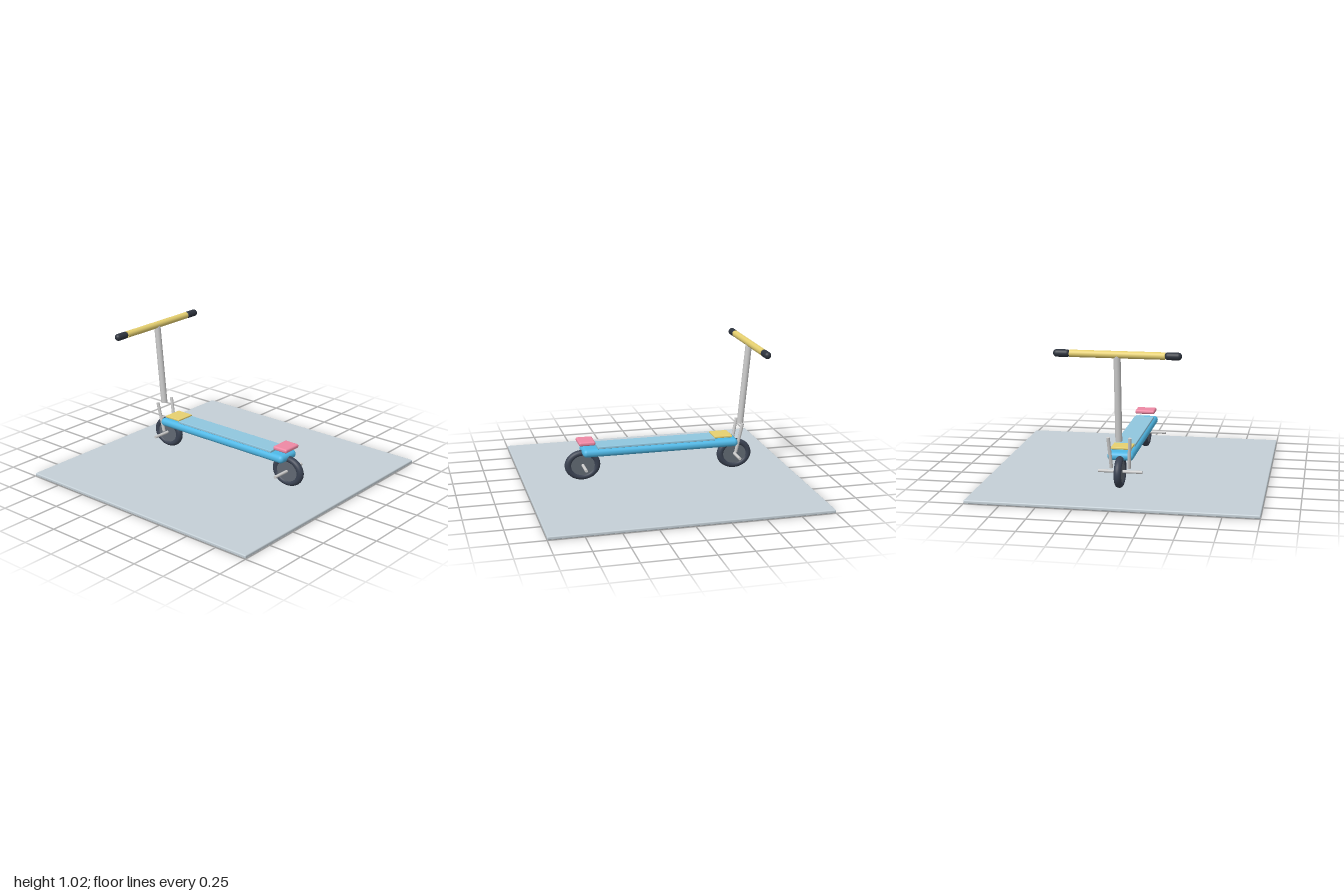
import * as THREE from 'three';
import { RoundedBoxGeometry } from 'three/addons/geometries/RoundedBoxGeometry.js';

const paint = (color) => new THREE.MeshStandardMaterial({ color });
const metal = paint(0xcccccc);
const blue = paint(0x4fb8e6);
const paleBlue = paint(0x90c6de);
const yellow = paint(0xe6d070);
const pink = paint(0xee88a4);
const rubber = paint(0x3a4252);
const gripRubber = paint(0x2e343e);
const hubGrey = paint(0x606872);
const slabGrey = paint(0xc4cfd6);

export function createModel() {
  const model = new THREE.Group();

  const add = (name, geometry, material, parent = model) => {
    const mesh = new THREE.Mesh(geometry, material);
    mesh.name = name;
    parent.add(mesh);
    return mesh;
  };

  // Rounded block given by its size and centre
  const block = (name, material, size, centre, radius) =>
    add(name, new RoundedBoxGeometry(...size, 4, radius), material).position.set(...centre);

  // Straight round rod between two points
  const rod = (name, material, from, to, radius, parent = model) => {
    const a = new THREE.Vector3(...from);
    const b = new THREE.Vector3(...to);
    const axis = b.clone().sub(a);
    const mesh = add(name, new THREE.CylinderGeometry(radius, radius, axis.length(), 28), material, parent);
    mesh.position.copy(a).lerp(b, 0.5);
    mesh.quaternion.setFromUnitVectors(new THREE.Vector3(0, 1, 0), axis.normalize());
  };

  // Ground slab
  block('groundSlab', slabGrey, [2, 0.025, 2], [0, 0.0125, 0], 0.008);

  // Deck with its grip pad and the two small plates
  block('deck', blue, [0.186, 0.06, 1.17], [0, 0.26, 0], 0.029);
  block('deckPad', paleBlue, [0.15, 0.018, 0.885], [0, 0.296, 0.033], 0.004);
  block('stemPlate', yellow, [0.147, 0.015, 0.136], [0, 0.309, -0.473], 0.004);
  block('brakePlate', pink, [0.15, 0.03, 0.12], [0, 0.332, 0.552], 0.012);

  // Oval wheels on long axles
  for (const [end, z] of [['front', 0.577], ['rear', -0.577]]) {
    const wheel = new THREE.Group();
    wheel.name = end + 'Wheel';
    wheel.position.set(0, 0.156, z);
    model.add(wheel);

    const tyre = add('tyre', new THREE.TorusGeometry(0.106, 0.026, 20, 56), rubber, wheel);
    tyre.rotation.y = Math.PI / 2;
    tyre.scale.y = 0.85;

    const disc = add('wheelDisc', new THREE.CylinderGeometry(0.094, 0.094, 0.036, 48), hubGrey, wheel);
    disc.rotation.z = Math.PI / 2;
    disc.scale.x = 0.87;

    rod('axle', metal, [-0.155, 0, 0], [0.155, 0, 0], 0.011, wheel);
  }

  // Leaning steering stem and handlebar
  rod('stem', metal, [0, 0.385, -0.622], [0, 0.995, -0.68], 0.024);
  rod('handlebar', yellow, [-0.325, 0.995, -0.68], [0.325, 0.995, -0.68], 0.025);

  // Fork legs and hand grips, mirrored
  for (const [side, s] of [['left', 1], ['right', -1]]) {
    rod(side + 'ForkLeg', metal, [s * 0.062, 0.18, -0.573], [s * 0.076, 0.405, -0.618], 0.012);

    const grip = add(side + 'Grip', new THREE.CapsuleGeometry(0.026, 0.066, 10, 28), gripRubber);
    grip.rotation.z = Math.PI / 2;
    grip.position.set(s * 0.379, 0.995, -0.68);
  }

  return model;
}
